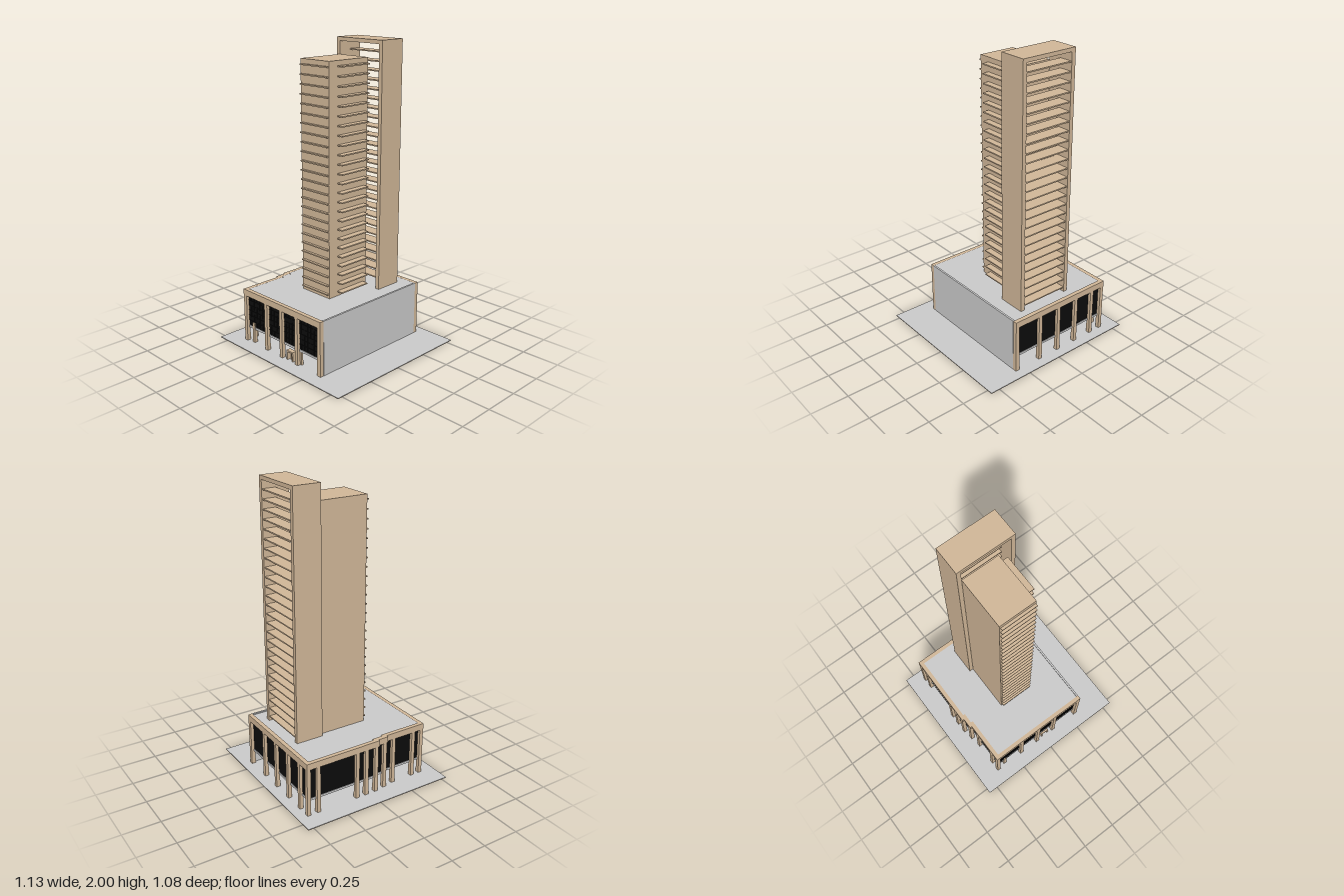
import * as THREE from 'three';

const tan = new THREE.MeshStandardMaterial({ color: 0xd2b899 });
const grey = new THREE.MeshStandardMaterial({ color: 0xcccccc });
const black = new THREE.MeshStandardMaterial({ color: 0x0c0c0c });

export function createModel() {
  const model = new THREE.Group();
  const group = (name) => {
    const g = new THREE.Group();
    g.name = name;
    model.add(g);
    return g;
  };

  // Box given by its extents along each axis
  function box(parent, name, mat, [x0, x1], [y0, y1], [z0, z1]) {
    const m = new THREE.Mesh(new THREE.BoxGeometry(x1 - x0, y1 - y0, z1 - z0), mat);
    m.position.set((x0 + x1) / 2, (y0 + y1) / 2, (z0 + z1) / 2);
    m.name = name;
    parent.add(m);
  }

  // Podium outline with its stepped -x side, inset by d (right edge by dr)
  const outline = (d, dr = d) => [
    [-0.45 + d, -0.475 + d], [0.315 - dr, -0.475 + d], [0.315 - dr, 0.44 - d],
    [-0.423 + d, 0.44 - d], [-0.423 + d, 0.14 - d], [-0.437 + d, 0.14 - d],
    [-0.437 + d, 0.065 - d], [-0.45 + d, 0.065 - d],
  ].map(([x, z]) => new THREE.Vector2(x, -z));

  // Upright prism over a plan outline
  function prism(parent, name, mat, points, y0, y1, hole) {
    const shape = new THREE.Shape(points);
    if (hole) shape.holes.push(new THREE.Path(hole));
    const geo = new THREE.ExtrudeGeometry(shape, { depth: y1 - y0, bevelEnabled: false });
    geo.rotateX(-Math.PI / 2);
    const m = new THREE.Mesh(geo, mat);
    m.position.y = y0;
    m.name = name;
    parent.add(m);
  }

  // Site slab
  const site = group('site');
  box(site, 'siteBase', tan, [-0.567, 0.565], [0, 0.003], [-0.54, 0.535]);
  box(site, 'paving', grey, [-0.567, 0.565], [0.003, 0.006], [-0.54, 0.535]);

  // Podium: raised glazed box, floor, roof, parapet beam and solid side wall
  const podium = group('podium');
  prism(podium, 'podiumFloor', grey, outline(0.018, 0.01), 0.1, 0.115);
  prism(podium, 'podiumGlass', black, outline(0.022, 0.01), 0.115, 0.34);
  prism(podium, 'podiumRoof', grey, outline(0.015, 0.003), 0.34, 0.366);
  prism(podium, 'parapetBeam', tan, outline(0), 0.33, 0.373, outline(0.028, 0.012));
  box(podium, 'sideWall', grey, [0.303, 0.316], [0.006, 0.3735], [-0.446, 0.411]);

  // Columns along front, back and the stepped side
  const columns = group('columns');
  const column = (x, z, w = 0.026, h = 0.332) =>
    box(columns, 'column', tan, [x - w / 2, x + w / 2], [0.006, h], [z - w / 2, z + w / 2]);
  for (const x of [-0.2, -0.053, 0.093]) column(x, 0.426);
  for (const x of [-0.345, -0.2, -0.047, 0.109]) column(x, -0.461);
  for (const z of [-0.461, 0.426]) column(0.301, z, 0.028);
  for (const z of [-0.461, -0.39, -0.1, -0.03, 0.045]) column(-0.436, z);
  column(-0.423, 0.12);
  for (const z of [0.2, 0.36, 0.426]) column(-0.409, z);
  column(-0.345, 0.415, 0.022, 0.145);
  column(0.112, 0.41, 0.014, 0.145);

  // Entrance frame at the front
  const entrance = group('entrance');
  for (const x of [-0.01, 0.04]) box(entrance, 'doorPost', tan, [x, x + 0.01], [0.006, 0.07], [0.4, 0.43]);
  box(entrance, 'doorLintel', tan, [-0.01, 0.05], [0.062, 0.072], [0.4, 0.43]);
  box(entrance, 'doorMullion', tan, [0.018, 0.022], [0.006, 0.062], [0.413, 0.417]);

  // Mullions dividing the front glazing
  const mullions = group('mullions');
  for (let i = 1; i < 24; i++) {
    const x = -0.4 + i * 0.029;
    box(mullions, 'mullion', black, [x - 0.0015, x + 0.0015], [0.115, 0.33], [0.417, 0.421]);
  }
  for (let i = 1; i < 6; i++) {
    const y = 0.115 + i * 0.036;
    box(mullions, 'transom', black, [-0.4, 0.29], [y - 0.0015, y + 0.0015], [0.417, 0.421]);
  }

  // Main tower block
  const tower = group('tower');
  box(tower, 'towerBlock', tan, [-0.163, 0.087], [0.36, 1.89], [-0.2, 0.14]);

  // Tall open portal behind the block
  const portal = group('portal');
  box(portal, 'portalSide', tan, [-0.19, -0.162], [0.36, 1.975], [-0.39, -0.202]);
  box(portal, 'portalSide', tan, [0.177, 0.205], [0.36, 1.975], [-0.39, -0.202]);
  box(portal, 'portalTop', tan, [-0.19, 0.205], [1.975, 2], [-0.39, -0.202]);

  // Floor ledges on the block and slabs inside the portal
  const floors = group('floors');
  for (let i = 0; i < 26; i++) {
    const y = 0.396 + i * 0.0608;
    const span = [y - 0.004, y + 0.004];
    box(floors, 'portalSlab', tan, [-0.164, 0.179], span, [-0.385, -0.295]);
    if (i === 25) continue;
    box(floors, 'frontLedge', tan, [-0.155, 0.084], span, [0.135, 0.157]);
    box(floors, 'sideBalcony', tan, [0.08, 0.13], span, [-0.173, 0.067]);
  }
  return model;
}
